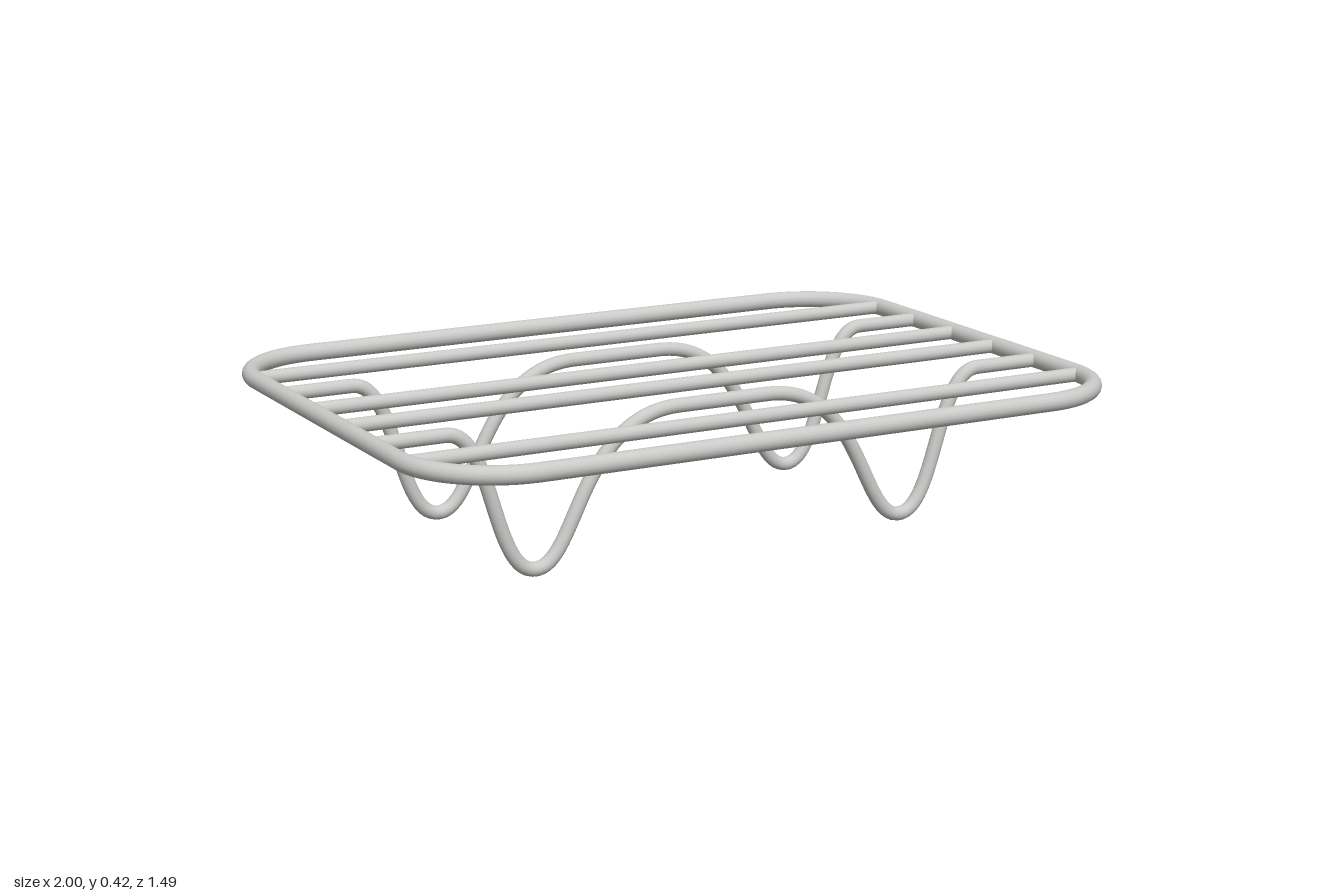
import * as THREE from 'three';

const BAR_Y = 0.397, BAR_R = 0.019, FRAME_R = 0.024;

// Straight pieces and quarter bends, joined into a closed rounded rectangle
function frameCurve(hx, hz, r) {
  const path = new THREE.CurvePath();
  const v = (x, z) => new THREE.Vector3(x, BAR_Y, z);
  const corners = [[1, 1], [-1, 1], [-1, -1], [1, -1]];
  const k = 0.5523 * r;
  corners.forEach(([sx, sz], i) => {
    const [nx, nz] = corners[(i + 1) % 4];
    // ends of the bend on the side edge and on the front/back edge
    const side = v(sx * hx, sz * (hz - r)), end = v(sx * (hx - r), sz * hz);
    const cSide = v(sx * hx, sz * (hz - r + k)), cEnd = v(sx * (hx - r + k), sz * hz);
    if (i % 2 === 0) {
      path.add(new THREE.CubicBezierCurve3(side, cSide, cEnd, end));
      path.add(new THREE.LineCurve3(end, v(nx * (hx - r), nz * hz)));
    } else {
      path.add(new THREE.CubicBezierCurve3(end, cEnd, cSide, side));
      path.add(new THREE.LineCurve3(side, v(nx * hx, nz * (hz - r))));
    }
  });
  return path;
}

// Bar that dips twice in smooth rounded valleys
function legCurve() {
  const path = new THREE.CurvePath();
  const low = 0.021;
  const v = (x, y) => new THREE.Vector3(x, y, 0);
  const bend = (...p) => path.add(new THREE.CubicBezierCurve3(...p.map(([x, y]) => v(x, y))));
  const inner = [[0.13, BAR_Y], [0.42, BAR_Y], [0.42, low], [0.54, low]];
  const outer = [[0.54, low], [0.66, low], [0.65, BAR_Y], [0.78, BAR_Y]];
  const mirror = (pts) => pts.map(([x, y]) => [-x, y]).reverse();
  path.add(new THREE.LineCurve3(v(-0.965, BAR_Y), v(-0.78, BAR_Y)));
  bend(...mirror(outer));
  bend(...mirror(inner));
  path.add(new THREE.LineCurve3(v(-0.13, BAR_Y), v(0.13, BAR_Y)));
  bend(...inner);
  bend(...outer);
  path.add(new THREE.LineCurve3(v(0.78, BAR_Y), v(0.965, BAR_Y)));
  return path;
}

export function createModel() {
  const group = new THREE.Group();
  const metal = new THREE.MeshStandardMaterial({ color: 0xcacac8 });
  metal.name = 'light grey metal';

  const add = (name, geometry, x = 0, y = 0, z = 0) => {
    const mesh = new THREE.Mesh(geometry, metal);
    mesh.name = name;
    mesh.position.set(x, y, z);
    group.add(mesh);
  };

  // Outer rim
  add('frame', new THREE.TubeGeometry(frameCurve(0.976, 0.721, 0.25), 240, FRAME_R, 16, true));

  // Straight cross bars
  const bar = new THREE.CylinderGeometry(BAR_R, BAR_R, 1.93, 16).rotateZ(Math.PI / 2);
  for (const z of [-0.495, -0.1, 0.1, 0.495]) add('crossBar', bar, 0, BAR_Y, z);

  // Bent bars that dip down to form the feet
  const legBar = new THREE.TubeGeometry(legCurve(), 200, BAR_R, 16);
  for (const z of [-0.297, 0.297]) add('legBar', legBar, 0, 0, z);

  return group;
}
